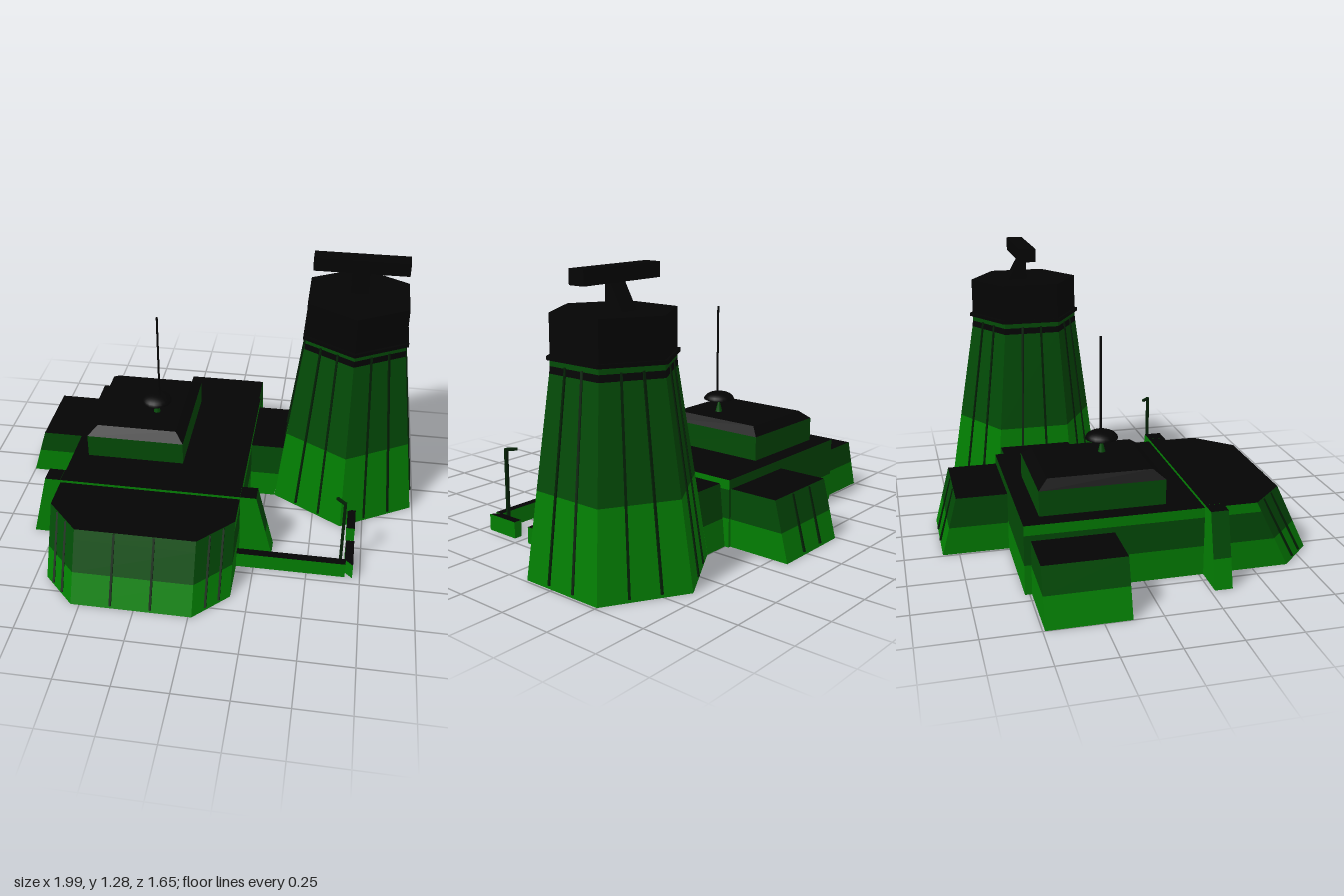
import * as THREE from 'three';

const paint = (name, color) => {
  const m = new THREE.MeshStandardMaterial({ color, side: THREE.DoubleSide });
  m.name = name;
  return m;
};

export function createModel() {
  const root = new THREE.Group();
  root.name = 'baseBuilding';
  const light = paint('lightGreen', 0x027e02);
  const dark = paint('darkGreen', 0x024a06);
  const black = paint('roofBlack', 0x040404);
  const ribMat = paint('ribGreen', 0x022004);

  const add = (name, geo, mat, x = 0, y = 0, z = 0) => {
    const m = new THREE.Mesh(geo, mat);
    m.name = name;
    m.position.set(x, y, z);
    root.add(m);
    return m;
  };

  // Outlines run front-left, front-right, back-right, back-left as [x, z]
  const rect = (x0, x1, z0, z1) => [[x0, z1], [x1, z1], [x1, z0], [x0, z0]];
  const mix = (p, q, t) => [p[0] + (q[0] - p[0]) * t, p[1] + (q[1] - p[1]) * t];
  const mixAll = (lo, hi, t) => lo.map((p, i) => mix(p, hi[i], t));

  // Flat-faced shell, open below, from stacked outlines.
  // mats = one per band (or a list, one per wall), then the top
  function stack(name, rings, mats) {
    const pos = [];
    const geo = new THREE.BufferGeometry();
    const used = [...new Set(mats.flat())];
    const tri = (...pts) => pts.forEach(([p, y]) => pos.push(p[0], y, p[1]));
    const face = (mat, fn) => {
      const start = pos.length / 3;
      fn();
      geo.addGroup(start, pos.length / 3 - start, used.indexOf(mat));
    };
    for (let k = 0; k < rings.length - 1; k++) {
      const [y0, a] = rings[k], [y1, b] = rings[k + 1];
      a.forEach((p, i) => face([mats[k]].flat()[i] ?? mats[k], () => {
        const j = (i + 1) % a.length;
        tri([p, y0], [a[j], y0], [b[j], y1]);
        tri([p, y0], [b[j], y1], [b[i], y1]);
      }));
    }
    const [yt, hi] = rings[rings.length - 1];
    face(mats[rings.length - 1], () => {
      for (let i = 1; i < hi.length - 1; i++) tri([hi[0], yt], [hi[i], yt], [hi[i + 1], yt]);
    });
    geo.setAttribute('position', new THREE.Float32BufferAttribute(pos, 3));
    geo.computeVertexNormals();
    return add(name, geo, used);
  }

  // Two-tone block: light below, upper colour above, black roof
  const block = (name, lo, hi, h, upper = dark) => stack(name, [
    [0, lo], [0.13, mixAll(lo, hi, 0.13 / h)], [h, hi],
  ], [light, upper, black]);

  // Thin square bar between two points
  function bar(name, a, b, w, mat) {
    const A = new THREE.Vector3(...a), B = new THREE.Vector3(...b);
    const m = add(name, new THREE.BoxGeometry(w, w, A.distanceTo(B)), mat);
    m.position.copy(A).add(B).multiplyScalar(0.5);
    m.lookAt(B);
  }
  // Ribs up one wall of a tapered outline
  const ribs = (name, lo, hi, h, side, ts) => ts.forEach(t => {
    const j = (side + 1) % lo.length;
    const p = mix(lo[side], lo[j], t), q = mix(hi[side], hi[j], t);
    bar(name, [p[0], 0.015, p[1]], [q[0], h - 0.005, q[1]], 0.01, ribMat);
  });

  // Main hall with chamfered, sloping front; a light strip tops the side walls
  const hall = (c, f) => [[-0.54, f], [0.015, f], [0.168, c], [0.168, -0.52], [-0.695, -0.52], [-0.695, c]];
  const hallLo = hall(0.665, 0.82), hallHi = hall(0.51, 0.67), hallH = 0.315;
  stack('mainHall', [0, 0.135, 0.27, hallH].map(y => [y, mixAll(hallLo, hallHi, y / hallH)]),
    [light, dark, [dark, dark, light, dark, light, dark], black]);
  ribs('hallRib', hallLo, hallHi, hallH, 0, [0.33, 0.66]);
  ribs('hallRib', hallLo, hallHi, hallH, 1, [0.35, 0.7]);
  ribs('hallRib', hallLo, hallHi, hallH, 5, [0.3, 0.65]);

  // Roof beam with sloped buttresses, dark on their outer faces
  const beam = rect(-0.695, 0.168, 0.27, 0.35);
  stack('roofBeam', [[0.31, beam], [0.328, beam]], [light, black]);
  block('buttress', rect(-0.85, -0.696, 0.27, 0.35), rect(-0.77, -0.696, 0.27, 0.35), 0.328,
    [light, light, light, dark]);
  block('buttress', rect(0.169, 0.325, 0.27, 0.35), rect(0.169, 0.245, 0.27, 0.35), 0.328,
    [light, dark, light, light]);

  // Side, rear and tower-link wings
  block('sideWing', rect(-1, -0.696, -0.49, -0.13), rect(-0.925, -0.696, -0.49, -0.13), 0.245);
  const rearLo = rect(-0.24, 0.155, -0.825, -0.521), rearHi = rect(-0.24, 0.155, -0.755, -0.521);
  block('rearWing', rearLo, rearHi, 0.272);
  ribs('rearRib', rearLo, rearHi, 0.272, 2, [0.34, 0.67]);
  block('towerLink', rect(0.169, 0.294, -0.5, -0.1), rect(0.169, 0.329, -0.47, -0.12), 0.29);

  // Upper storey with bevelled roof
  const storey = rect(-0.617, -0.143, -0.44, 0.118);
  stack('upperStorey', [[0.316, storey], [0.43, storey], [0.468, rect(-0.575, -0.185, -0.395, 0.07)]],
    [dark, black, black]);

  // Dome, its cone mount and the mast
  add('domeMount', new THREE.ConeGeometry(0.018, 0.07, 12), dark, -0.31, 0.5, -0.095);
  const dome = add('dome', new THREE.SphereGeometry(0.075, 20, 8, 0, Math.PI * 2, 0, Math.PI / 2), black, -0.31, 0.533, -0.095);
  dome.scale.y = 0.5;
  add('mast', new THREE.CylinderGeometry(0.005, 0.005, 0.45, 8), black, -0.295, 0.775, -0.095);

  // Hexagonal tower, its axis leaning slightly forward
  const tx = 0.642;
  const ring = (r, y) => Array.from({ length: 6 }, (_, i) => {
    const a = i * Math.PI / 3;
    return [tx + r * Math.sin(a), -0.3 + 0.016 * Math.min(y / 0.86, 1) + r * Math.cos(a)];
  });
  const level = (y, r) => [y, ring(r, y)];
  stack('tower', [level(0, 0.4), level(0.38, 0.345), level(0.86, 0.274), level(0.89, 0.271),
    level(0.918, 0.27), level(1.105, 0.27)], [light, dark, black, dark, black, black]);
  stack('towerCollar', [level(0.915, 0.284), level(0.932, 0.284)], [black, black]);
  for (let i = 0; i < 6; i++) ribs('towerRib', ring(0.4, 0), ring(0.27, 0.9), 0.9, i, [0.33, 0.67]);

  // Scanner on the tower roof
  stack('scannerPedestal', [[1.1, rect(0.6, 0.685, -0.37, -0.275)], [1.225, rect(0.6, 0.685, -0.3, -0.275)]],
    [black, black]);
  add('scannerBar', new THREE.BoxGeometry(0.445, 0.065, 0.08), black, tx, 1.252, -0.295);

  // Low yard walls with a gate gap
  const post = [[0.675, 0.425], [0.715, 0.462], [0.715, 0.29], [0.675, 0.29]];
  for (const r of [rect(0.169, 0.68, 0.422, 0.46), rect(0.675, 0.715, 0.06, 0.2), post])
    stack('yardWall', [[0, r], [0.078, r]], [light, black]);

  // Lamp post
  bar('lampPost', [0.655, 0, 0.402], [0.655, 0.395, 0.402], 0.014, ribMat);
  bar('lampArm', [0.657, 0.39, 0.404], [0.617, 0.39, 0.366], 0.012, ribMat);

  return root;
}
